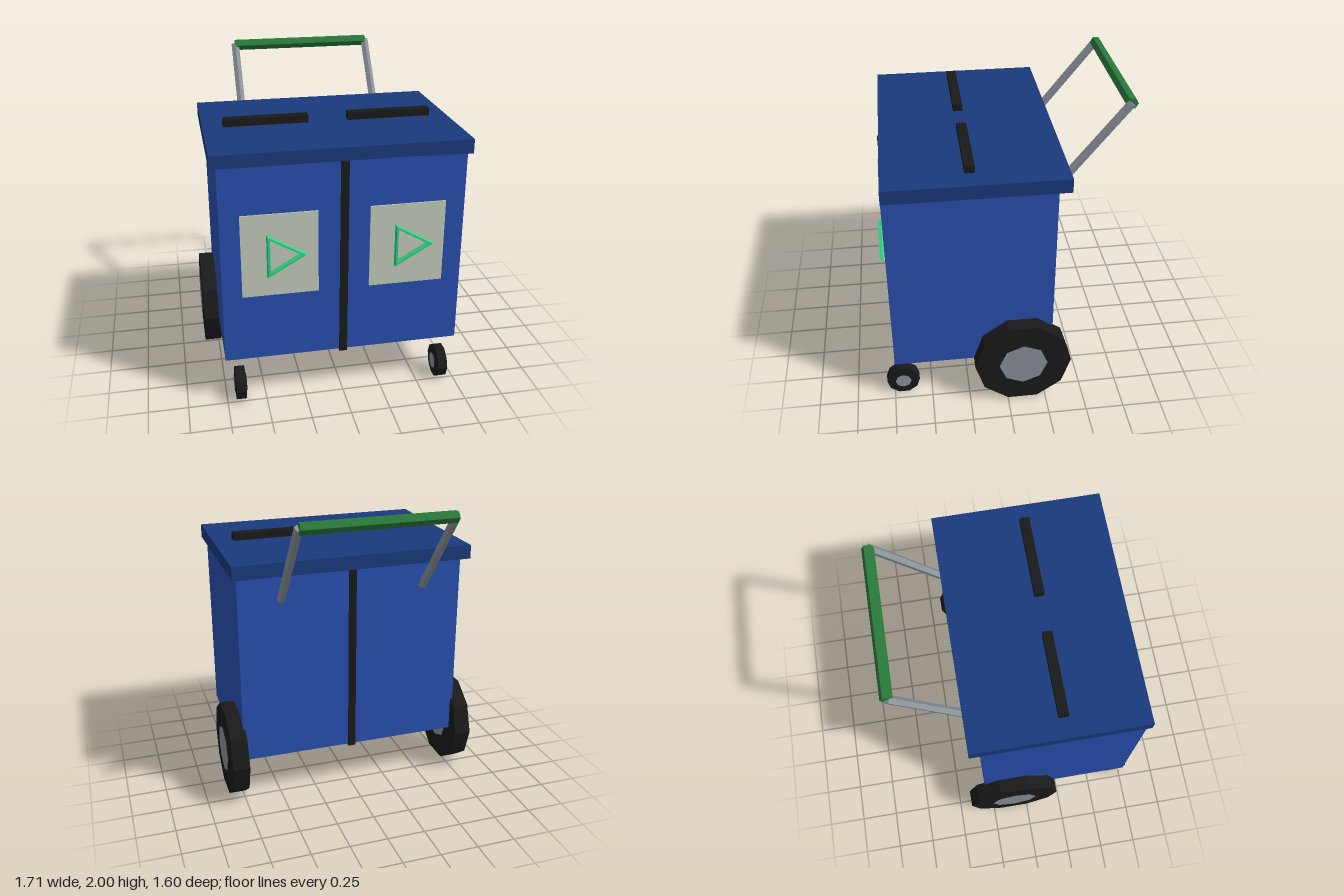
import * as THREE from 'three';

export function createModel() {
  const model = new THREE.Group();
  const paint = (name, color) => {
    const m = new THREE.MeshStandardMaterial({ color });
    m.name = name;
    return m;
  };
  const blue = paint('body blue', 0x2850b0);
  const navy = paint('lid navy', 0x1a3a7c);
  const black = paint('rubber black', 0x1a1a1a);
  const grey = paint('metal grey', 0x8c949c);
  const cream = paint('panel cream', 0xc8cec0);
  const mint = paint('symbol green', 0x2ed584);
  const green = paint('grip green', 0x2a7a3a);

  // Faceted normals for the low-poly round parts
  const facet = (geometry) => {
    const g = geometry.toNonIndexed();
    g.computeVertexNormals();
    return g;
  };
  const add = (name, geometry, material, x = 0, y = 0, z = 0, parent = model) => {
    const mesh = new THREE.Mesh(geometry, material);
    mesh.name = name;
    mesh.position.set(x, y, z);
    parent.add(mesh);
    return mesh;
  };
  // Box given by its limits on each axis
  const box = (name, material, [x0, x1], [y0, y1], [z0, z1]) =>
    add(name, new THREE.BoxGeometry(x1 - x0, y1 - y0, z1 - z0), material,
      (x0 + x1) / 2, (y0 + y1) / 2, (z0 + z1) / 2);
  // Faceted cylinder lying along x
  const axle = (radius, width, sides) =>
    facet(new THREE.CylinderGeometry(radius, radius, width, sides).rotateZ(Math.PI / 2));

  // Bin, lid and the dark divider wrapping front, bottom and back
  box('body', blue, [-0.75, 0.75], [0.31, 1.585], [-0.298, 0.736]);
  box('lid', navy, [-0.787, 0.787], [1.577, 1.667], [-0.369, 0.736]);
  box('divider', black, [-0.025, 0.025], [0.298, 1.585], [-0.308, 0.747]);

  // Tyre with a slightly proud hub
  const wheel = (name, x, y, z, radius, width, hubRadius, hubWidth) => {
    const group = new THREE.Group();
    group.name = name;
    group.position.set(x, y, z);
    add('tyre', axle(radius, width, 10), black, 0, 0, 0, group);
    add('hub', axle(hubRadius, hubWidth, 8), [black, grey, grey], 0, 0, 0, group);
    model.add(group);
  };

  for (const side of [-1, 1]) {
    const label = side > 0 ? 'left' : 'right';
    const cx = side * 0.394;

    // Lid slots and front panels
    box(label + 'Slot', black, [cx - 0.267, cx + 0.267], [1.676, 1.724], [0.185, 0.247]);
    box(label + 'Panel', cream, [cx - 0.235, cx + 0.235], [0.752, 1.288], [0.735, 0.744]);

    // Triangular symbol, pointing the same way on both panels
    add(label + 'Triangle', facet(new THREE.TorusGeometry(0.142, 0.023, 6, 3)),
      mint, cx, 1.021, 0.757);

    wheel(label + 'RearWheel', side * 0.79, 0.312, -0.097, 0.315, 0.11, 0.158, 0.126);
    wheel(label + 'Caster', side * 0.662, 0.105, 0.69, 0.109, 0.062, 0.053, 0.078);

    // Sloping five-sided handle arm, one edge facing up and forward
    const start = new THREE.Vector3(side * 0.475, 1.41, -0.32);
    const end = new THREE.Vector3(side * 0.475, 1.972, -0.762);
    const run = end.clone().sub(start);
    const rod = new THREE.CylinderGeometry(0.028, 0.028, run.length(), 5);
    const arm = add(label + 'HandleArm', facet(rod), grey);
    arm.position.copy(start).add(end).multiplyScalar(0.5);
    arm.quaternion.setFromUnitVectors(new THREE.Vector3(0, 1, 0), run.normalize());
  }

  // Hexagonal handle grip
  add('handleGrip', axle(0.038, 0.955, 6), green, 0, 1.967, -0.764);

  return model;
}
